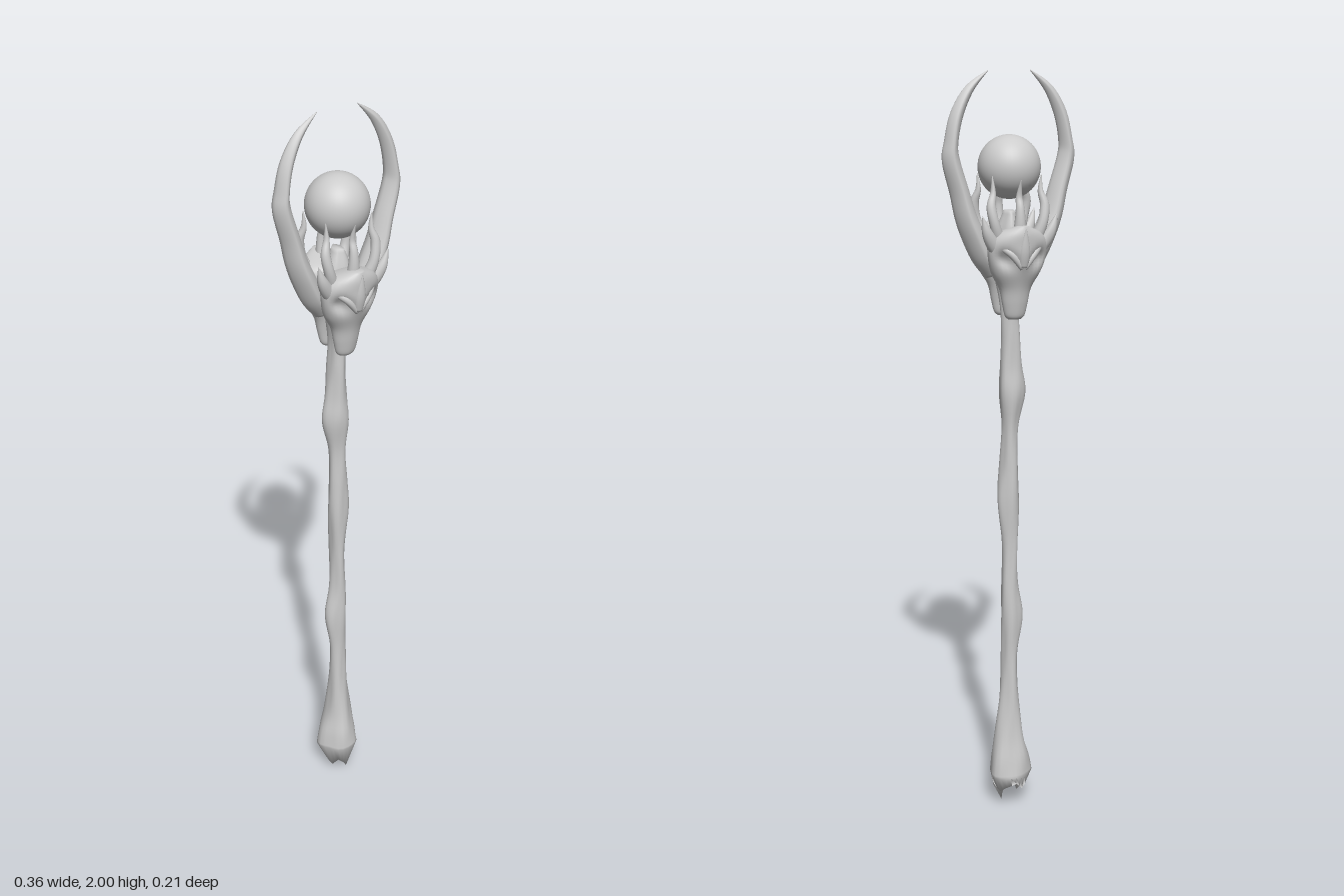
import * as THREE from 'three';

const material = new THREE.MeshStandardMaterial({ color: 0xcccccc, side: THREE.DoubleSide });

// Catmull-Rom interpolation of rows of numbers, n steps between rows
function smooth(keys, n) {
  const rows = [];
  const last = keys.length - 1;
  for (let i = 0; i < last; i++) {
    const a = keys[Math.max(i - 1, 0)], b = keys[i], c = keys[i + 1], d = keys[Math.min(i + 2, last)];
    for (let s = 0; s < n; s++) {
      const t = s / n;
      rows.push(b.map((_, k) => 0.5 * (2 * b[k] + (c[k] - a[k]) * t
        + (2 * a[k] - 5 * b[k] + 4 * c[k] - d[k]) * t * t
        + (3 * b[k] - a[k] - 3 * c[k] + d[k]) * t * t * t)));
    }
  }
  rows.push(keys[last]);
  return rows;
}

// Skin closed rings of points, with a fan cap at both ends
function loft(name, rings) {
  const m = rings[0].length, pos = [], index = [];
  rings.forEach(r => r.forEach(p => pos.push(p.x, p.y, p.z)));
  for (let i = 0; i < rings.length - 1; i++) {
    for (let j = 0; j < m; j++) {
      const a = i * m + j, b = i * m + (j + 1) % m;
      index.push(a, b, a + m, b, b + m, a + m);
    }
  }
  [0, rings.length - 1].forEach((r, end) => {
    const c = new THREE.Vector3();
    rings[r].forEach(p => c.addScaledVector(p, 1 / m));
    const ci = pos.length / 3;
    pos.push(c.x, c.y, c.z);
    for (let j = 0; j < m; j++) {
      const a = r * m + j, b = r * m + (j + 1) % m;
      if (end) index.push(ci, a, b); else index.push(ci, b, a);
    }
  });
  const g = new THREE.BufferGeometry();
  g.setAttribute('position', new THREE.Float32BufferAttribute(pos, 3));
  g.setIndex(index);
  g.computeVertexNormals();
  const mesh = new THREE.Mesh(g, material);
  mesh.name = name;
  return mesh;
}

// Tapered horn: rows of [x, y, z, half width, half depth]; power > 1 gives ridged edges
function horn(name, keys, depthAxis, power = 1, m = 14) {
  const rows = smooth(keys, 5);
  const at = i => new THREE.Vector3(...rows[Math.min(Math.max(i, 0), rows.length - 1)].slice(0, 3));
  const bend = (v) => Math.sign(v) * Math.abs(v) ** power;
  return loft(name, rows.map((row, i) => {
    const t = at(i + 1).sub(at(i - 1)).normalize();
    const u = depthAxis.clone().cross(t).normalize();
    const v = t.clone().cross(u);
    return Array.from({ length: m }, (_, j) => {
      const a = j / m * Math.PI * 2;
      return at(i).addScaledVector(u, bend(Math.cos(a)) * row[3]).addScaledVector(v, bend(Math.sin(a)) * row[4]);
    });
  }));
}

// Gnarled pole flaring into a splintered foot
function makeShaft() {
  const m = 24;
  const teeth = [0.055, 0.082, 0.04, 0.01, 0.03, 0.012, 0, 0.025, 0.005, 0.03, 0.058, 0.03];
  const ring = (fn) => Array.from({ length: m }, (_, j) => fn(j / m * Math.PI * 2, j));
  const tooth = (j) => (j % 2 ? (teeth[(j - 1) / 2] + teeth[((j + 1) / 2) % 12]) / 2 : teeth[j / 2]);
  const rings = [
    ring(a => new THREE.Vector3(Math.sin(a) * 0.025, 0.14, Math.cos(a) * 0.025)),
    ring((a, j) => {
      const d = tooth(j), r = 0.052 - d * 0.3;
      return new THREE.Vector3(Math.sin(a) * r, 0.082 - d, Math.cos(a) * r);
    }),
  ];
  // y, x centre, half width, half depth
  const keys = [
    [0.1, 0, 0.058, 0.054], [0.15, 0, 0.052, 0.048], [0.22, 0.002, 0.038, 0.036], [0.33, 0, 0.026, 0.026],
    [0.45, -0.001, 0.022, 0.022], [0.56, -0.007, 0.03, 0.025], [0.66, 0, 0.022, 0.023],
    [0.78, -0.001, 0.02, 0.022], [0.9, 0.002, 0.029, 0.025], [1.0, 0, 0.024, 0.024], [1.1, -0.002, 0.022, 0.022],
    [1.19, -0.006, 0.034, 0.031], [1.26, -0.004, 0.029, 0.026], [1.34, -0.003, 0.023, 0.025],
    [1.42, 0, 0.024, 0.024], [1.52, 0, 0.04, 0.035], [1.6, 0, 0.035, 0.035], [1.66, 0, 0.012, 0.02],
  ];
  smooth(keys, 5).forEach(([y, cx, w, d]) => rings.push(ring((a) => {
    const k = 1 + 0.07 * Math.sin(3 * a + y * 11) + 0.04 * Math.sin(5 * a - y * 23);
    return new THREE.Vector3(cx + Math.sin(a) * w * k, y, Math.cos(a) * d * k);
  })));
  return loft('shaft', rings);
}

// Beast skull, snout down, with sunken eyes and a row of prongs
function makeSkull() {
  const skull = new THREE.Group();
  const m = 32;
  // y, half width, z back, z front
  const keys = [
    [1.39, 0.018, 0.022, 0.046], [1.4, 0.027, 0.016, 0.053], [1.43, 0.034, 0.012, 0.06],
    [1.47, 0.043, 0.005, 0.068], [1.51, 0.066, 0, 0.083], [1.55, 0.077, 0, 0.1],
    [1.585, 0.077, 0, 0.103], [1.61, 0.058, 0.01, 0.104], [1.63, 0.012, 0.07, 0.1],
  ];
  skull.add(loft('skullBone', smooth(keys, 5).map(([y, w, z0, z1]) =>
    Array.from({ length: m }, (_, j) => {
      const a = j / m * Math.PI * 2, s = Math.sin(a), c = Math.cos(a);
      const x = w * Math.sign(s) * Math.abs(s) ** 1.15;
      let z = (z0 + z1) / 2 + c * (z1 - z0) / 2;
      const eye = Math.hypot((Math.abs(x) - 0.043) / 0.02, (y - 1.535 - Math.abs(x) * 0.3) / 0.022);
      if (c > 0) z -= 0.022 * Math.exp(-eye * eye);
      return new THREE.Vector3(x, y, z);
    }))));
  const zAxis = new THREE.Vector3(0, 0, 1);
  for (const s of [1, -1]) {
    skull.add(horn('ear', [[0.045 * s, 1.555, 0.05, 0.02, 0.015], [0.073 * s, 1.59, 0.06, 0.017, 0.014],
      [0.089 * s, 1.62, 0.065, 0.012, 0.011], [0.1 * s, 1.655, 0.068, 0.001, 0.001]], zAxis));
    skull.add(horn('sideProng', [[0.045 * s, 1.58, 0.05, 0.018, 0.016], [0.064 * s, 1.63, 0.06, 0.013, 0.013],
      [0.072 * s, 1.675, 0.056, 0.012, 0.011], [0.064 * s, 1.71, 0.048, 0.007, 0.008],
      [0.066 * s, 1.75, 0.048, 0.001, 0.001]], zAxis));
    // Brow ridge sweeping up from the nose
    skull.add(horn('brow', [[0.004 * s, 1.525, 0.089, 0.006, 0.006], [0.03 * s, 1.56, 0.087, 0.009, 0.009],
      [0.058 * s, 1.585, 0.065, 0.008, 0.008], [0.075 * s, 1.61, 0.05, 0.001, 0.001]], zAxis));
  }
  skull.add(horn('centreProng', [[0, 1.57, 0.06, 0.022, 0.02], [0, 1.63, 0.068, 0.015, 0.014],
    [0, 1.67, 0.068, 0.011, 0.01], [0, 1.7, 0.062, 0.008, 0.007], [0, 1.74, 0.074, 0.001, 0.001]], zAxis));
  skull.add(horn('crest', [[0, 1.53, 0.088, 0.012, 0.01], [0, 1.57, 0.097, 0.014, 0.01],
    [0, 1.625, 0.106, 0.001, 0.001]], zAxis));
  return skull;
}

export function createModel() {
  const model = new THREE.Group();
  model.name = 'staff';
  model.add(makeShaft());

  // Skulls facing front and back
  ['frontSkull', 'backSkull'].forEach((name, i) => {
    const skull = makeSkull();
    skull.name = name;
    skull.rotation.y = i * Math.PI;
    model.add(skull);
  });

  // Orb held between the horns
  const orb = new THREE.Mesh(new THREE.SphereGeometry(0.079, 40, 28), material);
  orb.name = 'orb';
  orb.position.y = 1.767;
  model.add(orb);

  // Large curved horns with a spur at the outer bend
  for (const [name, s] of [['leftHorn', 1], ['rightHorn', -1]]) {
    model.add(horn(name, [
      [0.05 * s, 1.5, 0, 0.016, 0.018], [0.072 * s, 1.545, 0, 0.029, 0.036], [0.098 * s, 1.6, 0, 0.03, 0.04],
      [0.118 * s, 1.65, 0, 0.028, 0.038], [0.134 * s, 1.71, 0, 0.025, 0.033], [0.155 * s, 1.785, 0, 0.023, 0.029],
      [0.154 * s, 1.83, 0, 0.018, 0.026], [0.139 * s, 1.895, 0, 0.017, 0.02], [0.106 * s, 1.955, 0, 0.012, 0.012],
      [0.056 * s, 1.999, 0, 0.001, 0.001],
    ], new THREE.Vector3(0, 0, 1), 1.3, 20));
  }
  return model;
}
